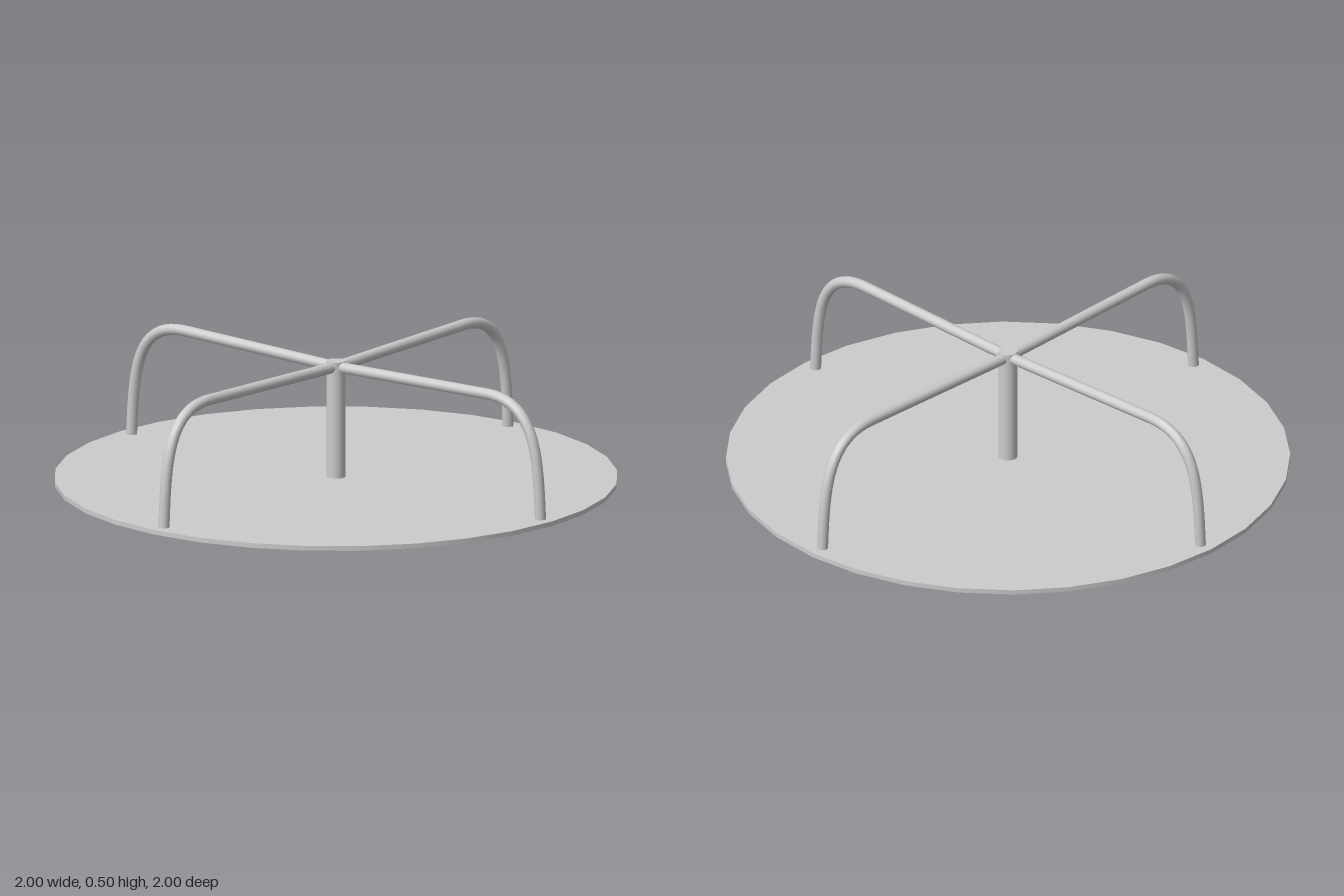
import * as THREE from 'three';

export function createModel() {
  const group = new THREE.Group();
  const grey = new THREE.MeshStandardMaterial({ color: 0xcccccc });

  const add = (name, geometry, y = 0) => {
    const mesh = new THREE.Mesh(geometry, grey);
    mesh.name = name;
    mesh.position.y = y;
    group.add(mesh);
    return mesh;
  };

  // Round turning platform
  add('platform', new THREE.CylinderGeometry(1, 1, 0.017, 32), 0.0535);

  // Centre post, from the ground up through the platform
  add('centrePost', new THREE.CylinderGeometry(0.034, 0.034, 0.485, 24), 0.2425);

  // Hand rail: rises slightly outward, then bends down to the platform
  const path = new THREE.CurvePath();
  const bendStart = new THREE.Vector3(0.7, 0.479, 0);
  path.add(new THREE.LineCurve3(new THREE.Vector3(0, 0.463, 0), bendStart));
  path.add(new THREE.CubicBezierCurve3(
    bendStart,
    new THREE.Vector3(0.93, 0.483, 0),
    new THREE.Vector3(0.935, 0.28, 0),
    new THREE.Vector3(0.947, 0.055, 0)
  ));
  const railGeometry = new THREE.TubeGeometry(path, 48, 0.02, 12);

  // Four rails, a quarter turn apart
  for (let i = 0; i < 4; i++) {
    add(`handRail${i + 1}`, railGeometry).rotation.y = (i * Math.PI) / 2;
  }

  return group;
}
